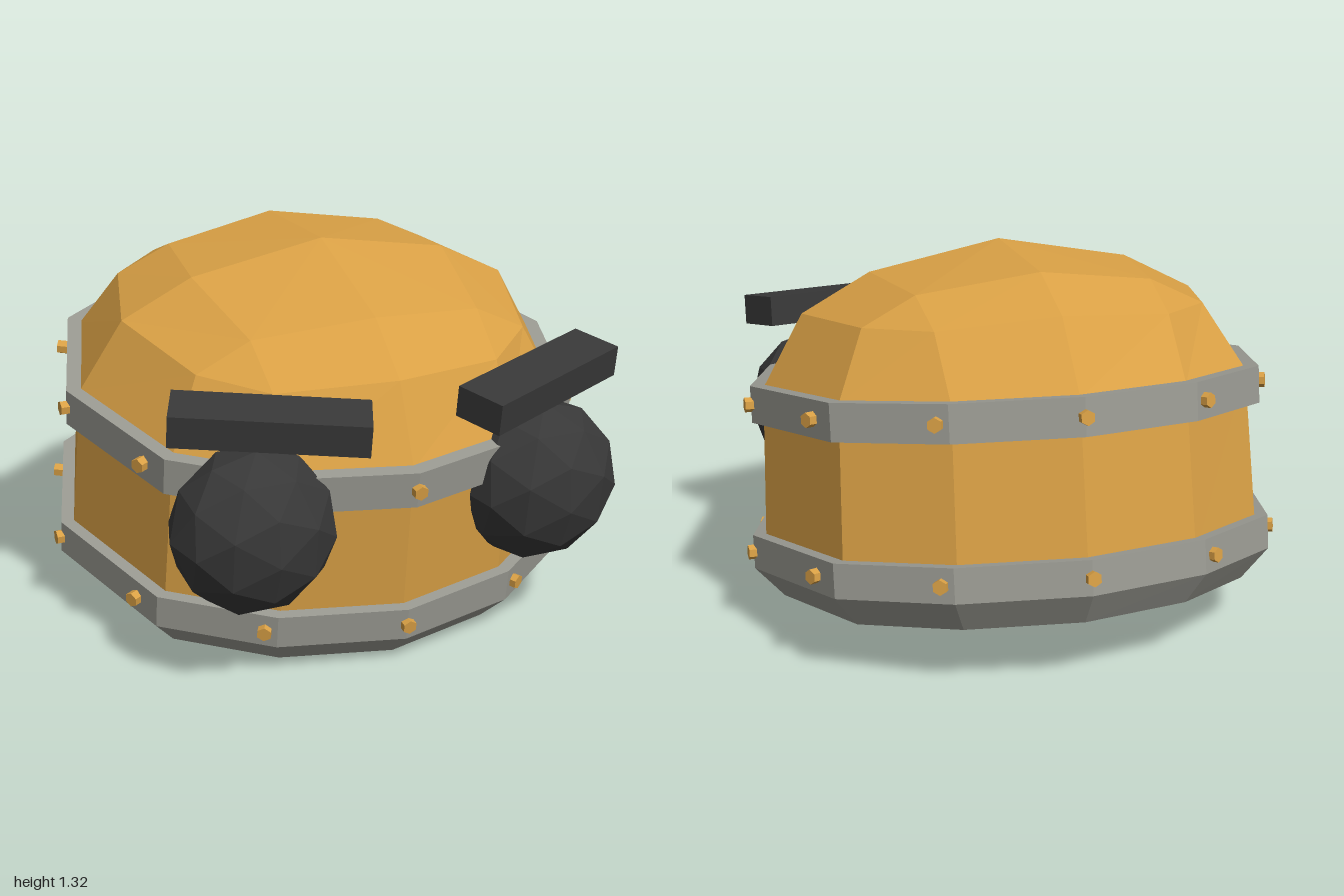
import * as THREE from 'three';

const mat = (color) => new THREE.MeshStandardMaterial({ color, flatShading: true });

// Expand a quarter outline (front axis to left axis) into a closed 12-point ring
function fullRing(p) {
  const ring = [];
  for (let i = 0; i < 12; i++) {
    const k = i <= 3 ? i : i <= 6 ? 6 - i : i <= 9 ? i - 6 : 12 - i;
    const [x, y, z] = p[k];
    ring.push(new THREE.Vector3(i > 6 ? -x : x, y, i > 3 && i < 10 ? -z : z));
  }
  return ring;
}

// Rounded 12-sided outline with half-widths rx, rz at height y
const outline = (rx, rz, y) =>
  fullRing([[0, 1], [0.46, 0.89], [0.82, 0.615], [1, 0]].map(([x, z]) => [x * rx, y, z * rz]));

const point = (y) => fullRing(Array(4).fill([0, y, 0]));

// Skin successive rings with flat faces, dropping collapsed triangles
function loft(rings) {
  const pos = [];
  const tri = (a, b, c) => {
    if (new THREE.Triangle(a, b, c).getArea() > 1e-7) {
      for (const v of [a, b, c]) pos.push(v.x, v.y, v.z);
    }
  };
  for (let r = 0; r + 1 < rings.length; r++) {
    for (let i = 0; i < 12; i++) {
      const j = (i + 1) % 12;
      const [a, b, c, d] = [rings[r][i], rings[r][j], rings[r + 1][j], rings[r + 1][i]];
      tri(a, b, c);
      tri(a, c, d);
    }
  }
  const g = new THREE.BufferGeometry();
  g.setAttribute('position', new THREE.Float32BufferAttribute(pos, 3));
  g.computeVertexNormals();
  return g;
}

export function createModel() {
  const gold = mat(0xd9a045), grey = mat(0x9a9a92), dark = mat(0x383838);
  const model = new THREE.Group();

  // Everything leans forward together
  const body = new THREE.Group();
  body.name = 'body';
  body.position.set(0, 0.113, -0.097);
  body.rotation.x = 0.141;
  model.add(body);

  const add = (name, geometry, material, parent = body) => {
    const m = new THREE.Mesh(geometry, material);
    m.name = name;
    parent.add(m);
    return m;
  };

  // Drum wall and faceted dome with bevelled corners
  add('shell', loft([
    outline(0.905, 0.85, 0.18),
    outline(0.88, 0.83, 0.75),
    fullRing([[0, 1.0, 0.68], [0.41, 0.97, 0.59], [0.61, 0.98, 0.41], [0.73, 1.0, 0]]),
    fullRing([[0, 1.13, 0.47], [0.42, 1.075, 0.405], [0.42, 1.075, 0.405], [0.48, 1.13, 0]]),
    point(1.22),
  ]), gold);

  // Base tray with a chamfered underside
  add('baseBand', loft([
    point(0),
    outline(0.85, 0.8, 0),
    outline(0.95, 0.89, 0.11),
    outline(0.95, 0.89, 0.23),
    outline(0.89, 0.835, 0.23),
  ]), grey);

  // Upper hoop
  add('upperBand', loft([
    outline(0.86, 0.81, 0.63),
    outline(0.927, 0.877, 0.63),
    outline(0.927, 0.877, 0.76),
    outline(0.86, 0.81, 0.76),
  ]), grey);

  // Hexagonal rivets round both bands
  const rivetGeo = new THREE.CylinderGeometry(0.026, 0.026, 0.06, 6).rotateX(Math.PI / 2);
  for (const [name, rx, rz, y] of [['baseRivets', 0.94, 0.88, 0.17], ['upperRivets', 0.92, 0.87, 0.695]]) {
    const rivets = new THREE.Group();
    rivets.name = name;
    body.add(rivets);
    for (let i = 0; i < 12; i++) {
      const a = (i * Math.PI) / 6;
      const rivet = add('rivet', rivetGeo, gold, rivets);
      rivet.position.set(Math.sin(a) * rx, y, Math.cos(a) * rz);
      rivet.rotation.y = a;
    }
  }

  // Eyes and angled brows
  for (const s of [1, -1]) {
    const side = s > 0 ? 'left' : 'right';
    const eye = add(side + 'Eye', new THREE.IcosahedronGeometry(1, 1), dark);
    eye.scale.set(0.285, 0.292, 0.248);
    eye.position.set(s * 0.525, 0.571, 0.744);
    const brow = add(side + 'Brow', new THREE.BoxGeometry(0.64, 0.11, 0.18), dark);
    brow.position.set(s * 0.485, 0.96, 0.75);
    brow.rotation.y = s * 0.41;
  }
  return model;
}
